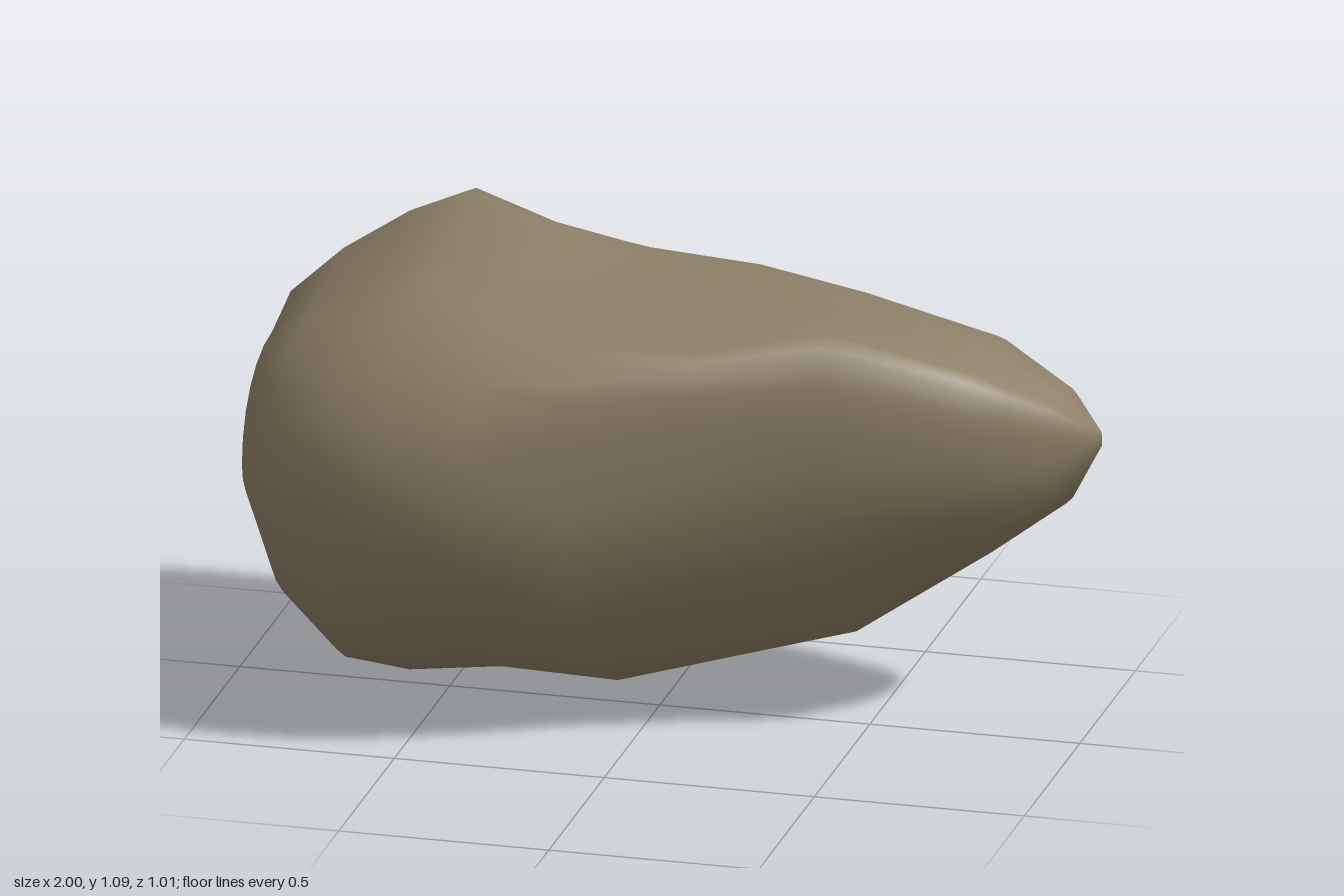
import * as THREE from 'three';

// Cross-sections along x: points [z, y] at the top ridge, front shoulder, front,
// bottom and back, and the roundness of the shoulder (smaller is boxier)
const sections = [
  { x: -1.0, top: [-0.17, 0.52], shoulder: [-0.15, 0.51], front: [-0.12, 0.49], bottom: [-0.14, 0.46], back: [-0.18, 0.49], round: 1 },
  { x: -0.95, top: [-0.27, 0.83], shoulder: [-0.1, 0.79], front: [0.17, 0.56], bottom: [-0.08, 0.41], back: [-0.33, 0.68], round: 0.95 },
  { x: -0.84, top: [-0.33, 0.925], shoulder: [0, 0.87], front: [0.38, 0.57], bottom: [0.05, 0.23], back: [-0.425, 0.72], round: 0.95 },
  { x: -0.69, top: [-0.36, 1.02], shoulder: [0, 0.95], front: [0.47, 0.59], bottom: [0.13, 0.115], back: [-0.475, 0.73], round: 0.95 },
  { x: -0.54, top: [-0.35, 1.09], shoulder: [0, 1.01], front: [0.505, 0.6], bottom: [0.11, 0.095], back: [-0.51, 0.74], round: 0.95 },
  { x: -0.34, top: [-0.29, 1.04], shoulder: [0.08, 0.985], front: [0.5, 0.6], bottom: [-0.12, 0.06], back: [-0.51, 0.75], round: 0.8 },
  { x: -0.12, top: [-0.25, 1.01], shoulder: [0.14, 0.975], front: [0.425, 0.6], bottom: [-0.23, 0], back: [-0.5, 0.77], round: 0.5 },
  { x: 0.15, top: [-0.2, 1.0], shoulder: [0.15, 0.965], front: [0.31, 0.67], bottom: [-0.23, 0.075], back: [-0.49, 0.79], round: 0.5 },
  { x: 0.43, top: [-0.1, 1.0], shoulder: [0.04, 0.995], front: [0.21, 0.7], bottom: [-0.25, 0.15], back: [-0.455, 0.79], round: 0.65 },
  { x: 0.75, top: [-0.09, 0.93], shoulder: [0.02, 0.91], front: [0.125, 0.71], bottom: [-0.25, 0.38], back: [-0.385, 0.76], round: 0.8 },
  { x: 0.92, top: [-0.11, 0.82], shoulder: [-0.05, 0.81], front: [0.0, 0.73], bottom: [-0.24, 0.51], back: [-0.315, 0.7], round: 0.9 },
  { x: 1.0, top: [-0.17, 0.71], shoulder: [-0.16, 0.71], front: [-0.15, 0.69], bottom: [-0.2, 0.66], back: [-0.2, 0.68], round: 1 },
];

const STEPS = 6; // points per stretch of a ring
const RING = STEPS * 5;

// Closed ring, anticlockwise seen from +x
function ringPoints({ x, top, shoulder, front, bottom, back, round }) {
  const points = [];
  const add = (from, to, tz, ty) =>
    points.push(x, from[1] + (to[1] - from[1]) * ty, from[0] + (to[0] - from[0]) * tz);

  // Gentle slope from the ridge to the front shoulder
  for (let k = 0; k < STEPS; k++) add(top, shoulder, k / STEPS, k / STEPS);

  // Rounded quarters; the broad end has a flat underside, the narrow end a bevelled back
  const broad = x < -0.3;
  const quarters = [
    [shoulder, front, true, round],
    [front, bottom, false, broad || x > 0.6 ? 1 : 1.08],
    [bottom, back, true, broad ? 0.75 : 1.08],
    [back, top, false, x > 0.3 ? 1.3 : 1],
  ];
  for (const [from, to, startsFlat, power] of quarters) {
    for (let k = 0; k < STEPS; k++) {
      const angle = (k / STEPS) * Math.PI / 2;
      const rise = Math.sin(angle) ** power;
      const fall = 1 - Math.cos(angle) ** power;
      if (startsFlat) add(from, to, rise, fall);
      else add(from, to, fall, rise);
    }
  }
  return points;
}

function boulderGeometry() {
  const positions = sections.flatMap(ringPoints);
  const index = [];
  const last = sections.length - 1;

  // Skin between neighbouring rings
  for (let i = 0; i < last; i++) {
    for (let j = 0; j < RING; j++) {
      const next = (j + 1) % RING;
      const a = i * RING + j, b = i * RING + next;
      const c = b + RING, d = a + RING;
      index.push(a, b, c, a, c, d);
    }
  }

  // Small caps on both ends
  for (const i of [0, last]) {
    const { x, top, bottom } = sections[i];
    const centre = positions.length / 3;
    positions.push(x, (top[1] + bottom[1]) / 2, (top[0] + bottom[0]) / 2);
    for (let j = 0; j < RING; j++) {
      const a = i * RING + j, b = i * RING + (j + 1) % RING;
      if (i === 0) index.push(centre, b, a);
      else index.push(centre, a, b);
    }
  }

  const geometry = new THREE.BufferGeometry();
  geometry.setAttribute('position', new THREE.Float32BufferAttribute(positions, 3));
  geometry.setIndex(index);
  geometry.computeVertexNormals();
  return geometry;
}

export function createModel() {
  const stone = new THREE.MeshStandardMaterial({ color: 0x8c7f66 });
  stone.name = 'stone';

  const boulder = new THREE.Mesh(boulderGeometry(), stone);
  boulder.name = 'boulder';

  const group = new THREE.Group();
  group.name = 'rock';
  group.add(boulder);
  return group;
}
